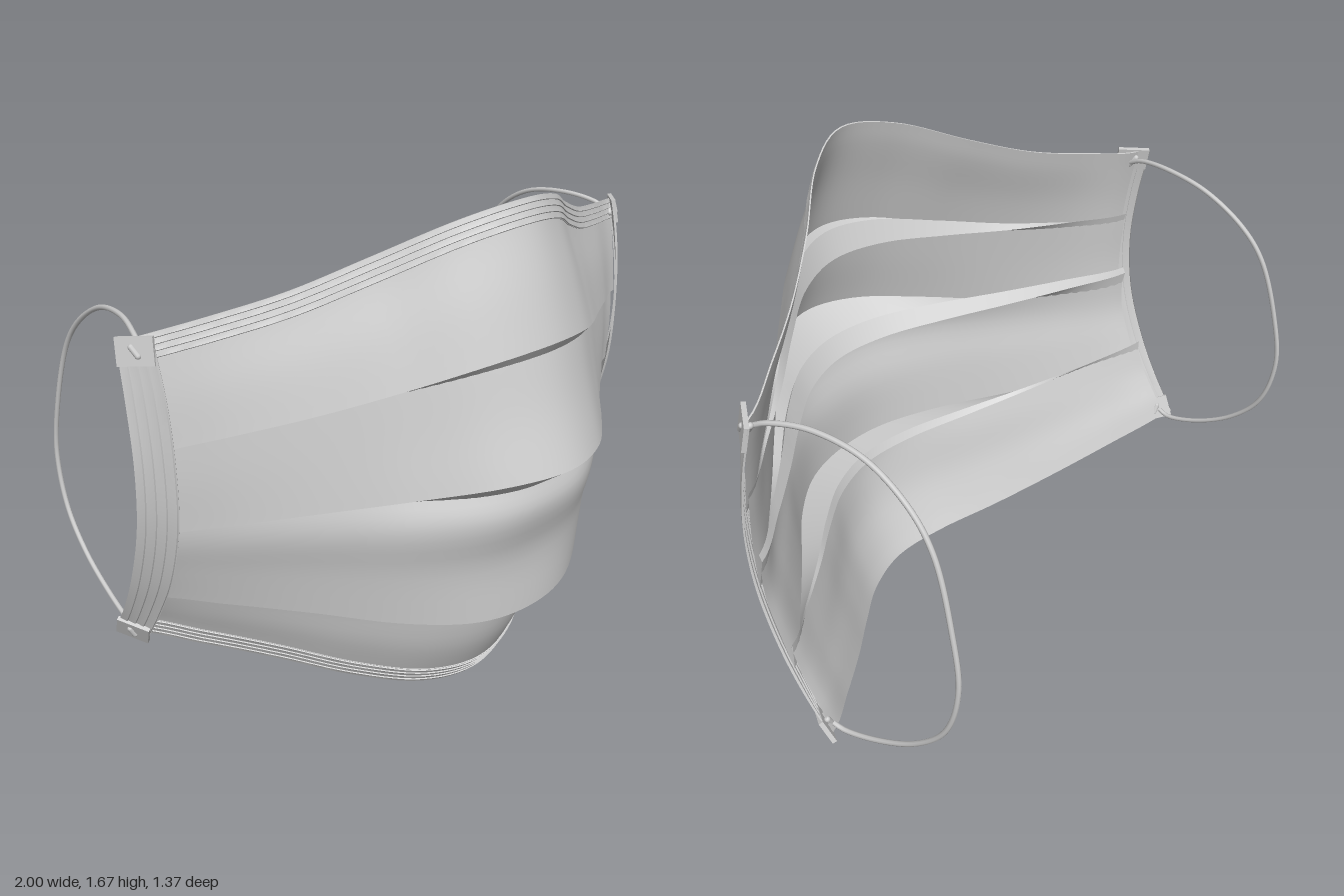
import * as THREE from 'three';
import { mergeVertices, toCreasedNormals } from 'three/addons/utils/BufferGeometryUtils.js';

const V = (x, y, z) => new THREE.Vector3(x, y, z);
const material = new THREE.MeshStandardMaterial({ color: 0xcccccc, side: THREE.DoubleSide });
const HALF = 0.96; // half width of the fabric

// Symmetric falloff from the centre line (1) to the side seam (0)
function falloff(table) {
  const pts = [];
  for (let i = -5; i <= 5; i++) pts.push(new THREE.Vector2(i / 5, table[Math.abs(i)]));
  const curve = new THREE.SplineCurve(pts);
  return u => curve.getPoint((u + 1) / 2).y;
}
const peaked = falloff([1, 0.87, 0.57, 0.3, 0.13, 0]);
const round = falloff([1, 0.95, 0.77, 0.5, 0.24, 0]);
const depth = falloff([1, 0.91, 0.69, 0.44, 0.21, 0]);

// A row runs across the mask: [centre y, centre z, side y, side z, roundness in y, fullness in z]
function rowPoint([yc, zc, ys, zs, k, full], u) {
  const wy = THREE.MathUtils.lerp(peaked(u), round(u), k);
  const wz = THREE.MathUtils.lerp(depth(u), round(u), full);
  return V(u * HALF, ys + (yc - ys) * wy, zs + (zc - zs) * wz);
}

// Grid surface from a function giving one cross-section (a list of points) per step
function loft(name, section, steps, crease) {
  const pos = [], index = [];
  let n = 0;
  for (let i = 0; i <= steps; i++) {
    const pts = section(i / steps);
    n = pts.length;
    pts.forEach(p => pos.push(p.x, p.y, p.z));
  }
  for (let i = 0; i < steps; i++) {
    for (let j = 0; j < n - 1; j++) {
      const a = i * n + j, b = a + n;
      index.push(a, a + 1, b, b, a + 1, b + 1);
    }
  }
  let geo = new THREE.BufferGeometry();
  geo.setAttribute('position', new THREE.Float32BufferAttribute(pos, 3));
  geo.setIndex(index);
  if (crease) geo = toCreasedNormals(mergeVertices(geo), crease);
  else geo.computeVertexNormals();
  const mesh = new THREE.Mesh(geo, material);
  mesh.name = name;
  return mesh;
}

// Panels from top to bottom; the last row of each is a fold edge
const topEdge = [1.675, 0.45, 1.37, -0.05, 0, -1];
const topSeam = [1.605, 0.472, 1.30, -0.035, 0, -0.9];
const bottomSeam = [0.075, 0.325, 0.385, -0.22, 1, 0];
const bottomEdge = [0.006, 0.285, 0.32, -0.25, 1, 0];
const panels = [
  [topEdge, topSeam, [1.45, 0.53, 1.18, -0.015, 0.1, -0.4], [1.285, 0.585, 1.04, 0, 0.3, 0]],
  [[1.28, 0.553, 1.1, -0.015, 0.3, 0], [1.1, 0.61, 0.93, -0.008, 0.4, 0], [0.925, 0.68, 0.77, -0.016, 0.6, 0]],
  [[0.862, 0.565, 0.9, -0.028, 0.8, 0.4], [0.77, 0.59, 0.74, -0.035, 1, 0.9],
    [0.6, 0.547, 0.62, -0.075, 1, 1.1], [0.39, 0.545, 0.51, -0.12, 1, 0.9]],
  [[0.42, 0.43, 0.59, -0.115, 1, 0.3], [0.34, 0.42, 0.5, -0.15, 1, 0], [0.2, 0.385, 0.44, -0.185, 1, 0],
    bottomSeam, bottomEdge],
];
// Innermost row of the pleat behind each fold
const pleats = [
  [1.19, 0.52, 1.12, -0.022, 0.3, 0],
  [0.8, 0.52, 0.88, -0.038, 0.8, 0.2],
  [0.39, 0.415, 0.61, -0.122, 1, 0.2],
];

// Ridged cross-section of a folded binding: [position across, height]
const ridges = [[0, 0], [0, 0.005]];
for (let i = 0; i < 4; i++) ridges.push([i / 4 + 0.02, 0.005], [i / 4 + 0.2, 0.009], [i / 4 + 0.23, 0.005]);
ridges.push([1, 0.005], [1, 0.001]);

// Binding between two edges, raised along a direction
function binding(name, outer, inner, up, steps) {
  return loft(name, t => {
    const a = outer(t), b = inner(t);
    return ridges.map(([v, h]) => a.clone().lerp(b, v).addScaledVector(up, h));
  }, steps, 0.6);
}

// Outer and inner edges of the left side binding
const sideOuter = new THREE.CatmullRomCurve3([
  V(0.985, 1.37, -0.08), V(0.993, 1.2, -0.045), V(0.997, 1, -0.027), V(0.997, 0.8, -0.05),
  V(0.995, 0.6, -0.12), V(0.99, 0.45, -0.2), V(0.982, 0.335, -0.28)]);
const sideInner = new THREE.CatmullRomCurve3([
  V(0.918, 1.38, 0), V(0.912, 1.2, 0.035), V(0.908, 1, 0.045), V(0.907, 0.8, 0.03),
  V(0.91, 0.6, -0.03), V(0.916, 0.43, -0.12), V(0.925, 0.3, -0.2)]);
const sideUp = V(0.6, 0, 0.8);

function cornerTab(name, t) {
  const group = new THREE.Group();
  group.name = name;
  const o = sideOuter.getPoint(t), i = sideInner.getPoint(t);
  const across = o.clone().sub(i);
  const width = across.length();
  across.normalize();
  const along = sideOuter.getTangent(t).negate();
  along.addScaledVector(across, -along.dot(across)).normalize();
  const normal = across.clone().cross(along);
  group.quaternion.setFromRotationMatrix(new THREE.Matrix4().makeBasis(across, along, normal));
  group.position.copy(o).lerp(i, 0.5).addScaledVector(normal, 0.007);
  const patch = new THREE.Mesh(new THREE.BoxGeometry(width, 0.08, 0.014), material);
  patch.name = 'tabPatch';
  group.add(patch);
  // Weld mark in front, cord end behind
  for (const [part, z, r] of [['weldMark', 0.006, 0.009], ['cordEnd', -0.014, 0.01]]) {
    const m = new THREE.Mesh(new THREE.CapsuleGeometry(r, 0.03, 4, 10), material);
    m.name = part;
    m.position.z = z;
    m.rotation.z = -0.6;
    group.add(m);
  }
  return group;
}

function sideParts(name) {
  const group = new THREE.Group();
  group.name = name;
  group.add(binding('sideBinding', t => sideOuter.getPoint(t), t => sideInner.getPoint(t), sideUp, 40));
  group.add(cornerTab('upperTab', 0.035), cornerTab('lowerTab', 0.965));
  // Elastic ear loop
  const path = new THREE.CatmullRomCurve3([
    V(0.935, 1.335, -0.035), V(0.925, 1.357, -0.08), V(0.895, 1.372, -0.2), V(0.877, 1.345, -0.36),
    V(0.88, 1.26, -0.5), V(0.89, 1.16, -0.58), V(0.91, 0.95, -0.65), V(0.922, 0.76, -0.68),
    V(0.928, 0.58, -0.64), V(0.932, 0.46, -0.54), V(0.936, 0.375, -0.4), V(0.943, 0.34, -0.28),
    V(0.948, 0.35, -0.245)]);
  const loop = new THREE.Mesh(new THREE.TubeGeometry(path, 90, 0.008, 8), material);
  loop.name = 'earLoop';
  group.add(loop);
  return group;
}

export function createModel() {
  const model = new THREE.Group();
  model.name = 'pleatedFaceMask';
  const edge = row => t => rowPoint(row, t * 2 - 1);

  // Fabric panels and the folded pleats joining them
  panels.forEach((rows, p) => {
    model.add(loft('panel' + (p + 1), t => {
      const curve = new THREE.CatmullRomCurve3(rows.map(r => edge(r)(t)));
      return Array.from({ length: 15 }, (_, j) => curve.getPoint(j / 14));
    }, 64));
    if (p < 3) {
      const fold = [rows[rows.length - 1], pleats[p], panels[p + 1][0]];
      model.add(loft('pleatFold' + (p + 1), t => fold.map(r => edge(r)(t)), 64, 0.6));
    }
  });

  // Ridged bindings along the top and bottom
  model.add(binding('topBinding', edge(topEdge), edge(topSeam), V(0, 0.3, 0.95), 64));
  model.add(binding('bottomBinding', edge(bottomEdge), edge(bottomSeam), V(0, -0.3, 0.95), 64));

  // Side bindings, tabs and ear loops
  const left = sideParts('leftSide');
  const right = sideParts('rightSide');
  right.scale.x = -1;
  model.add(left, right);
  return model;
}
